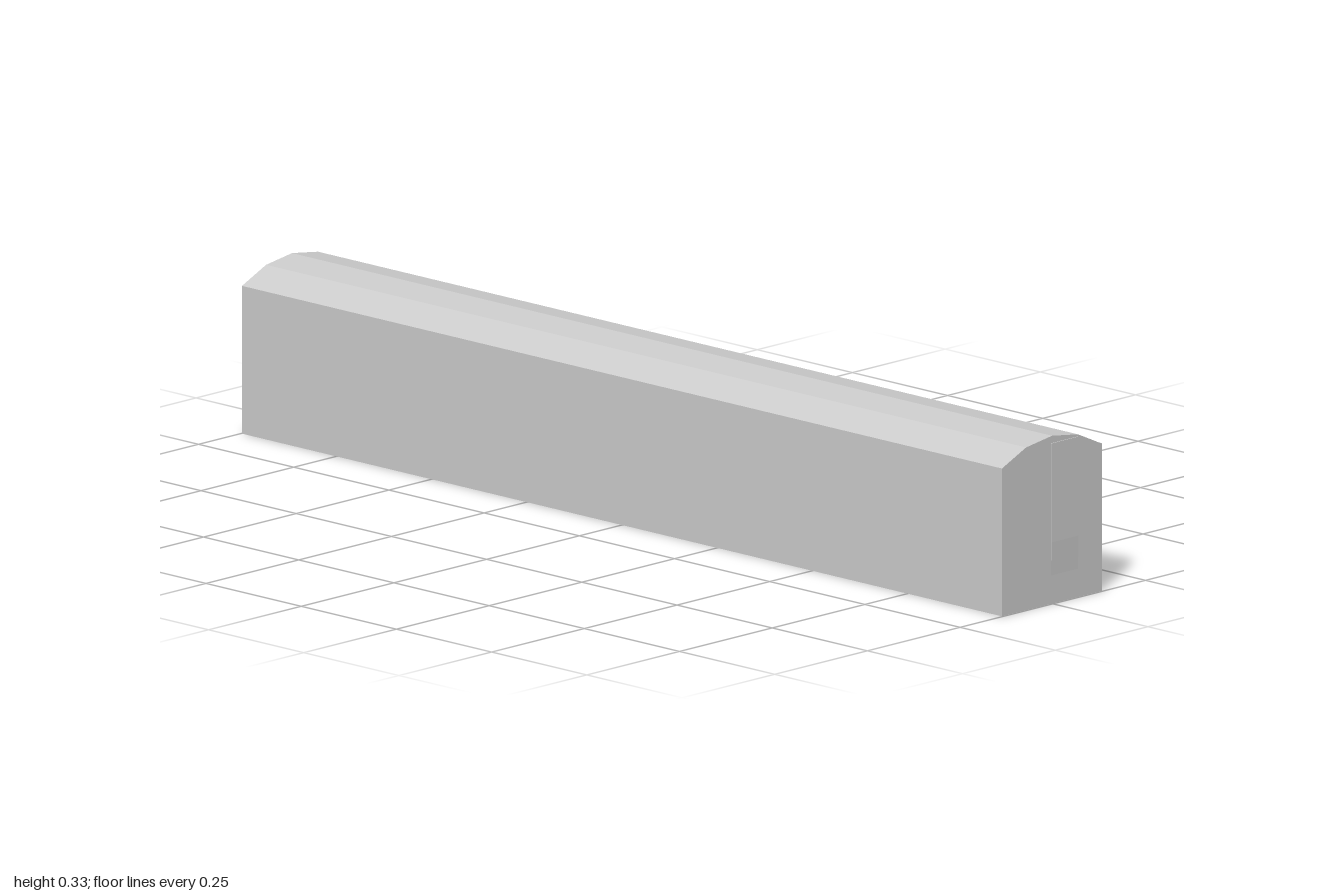
import * as THREE from 'three';

const grey = new THREE.MeshStandardMaterial({ color: 0xcccccc });
grey.name = 'plain grey';

const HALF = 0.998;   // half length of the shell
const BACK = 0.133;   // back of the shell, behind the window panel
const SLOT = { from: -0.07, to: 0.003, height: 0.06 };

function polygon(points) {
  return new THREE.Shape(points.map(([x, y]) => new THREE.Vector2(x, y)));
}

function extrude(shape, depth) {
  return new THREE.ExtrudeGeometry(shape, { depth, bevelEnabled: false });
}

function addMesh(group, name, geometry) {
  const mesh = new THREE.Mesh(geometry, grey);
  mesh.name = name;
  group.add(mesh);
  return mesh;
}

// Cross-section of the carriage; its horizontal axis is -z
function crossSection(slotted) {
  const floor = slotted
    ? [[-SLOT.to, 0], [-SLOT.to, SLOT.height], [-SLOT.from, SLOT.height], [-SLOT.from, 0]]
    : [];
  return polygon([
    [-0.135, 0], ...floor, [BACK, 0], [BACK, 0.287],
    [0.07, 0.316], [0, 0.326], [-0.07, 0.316], [-0.135, 0.287],
  ]);
}

// Slice of the carriage body between two x positions
function bodySlice(slotted, x0, x1) {
  return extrude(crossSection(slotted), x1 - x0).rotateY(Math.PI / 2).translate(x0, 0, 0);
}

function rectanglePath(x0, y0, x1, y1) {
  return new THREE.Path([
    new THREE.Vector2(x0, y0), new THREE.Vector2(x0, y1),
    new THREE.Vector2(x1, y1), new THREE.Vector2(x1, y0),
  ]);
}

export function createModel() {
  const group = new THREE.Group();
  group.name = 'railCarriage';

  // Body with a long channel in the floor, closed at both ends
  const wall = 0.008;
  addMesh(group, 'body', bodySlice(true, -HALF + wall, HALF - wall));
  addMesh(group, 'leftEndWall', bodySlice(false, HALF - wall, HALF));
  addMesh(group, 'rightEndWall', bodySlice(false, -HALF, -HALF + wall));

  // Thin back panel whose openings make the shallow windows
  const panel = polygon([[-HALF, 0], [HALF, 0], [HALF, 0.287], [-HALF, 0.287]]);
  for (let i = 0; i < 6; i++) {
    const x = 0.818 - i * 0.2506;
    panel.holes.push(rectanglePath(x - 0.064, 0.088, x + 0.064, 0.21));
  }
  panel.holes.push(rectanglePath(-0.876, 0.15, -0.748, 0.21));
  addMesh(group, 'windowPanel', extrude(panel, 0.002).translate(0, 0, -0.135));

  // Slightly raised end doors, tapering flush toward the bottom
  for (const side of [1, -1]) {
    const door = polygon([
      [0.992, 0.055], [0.998, 0.055], [1, 0.12], [1, 0.312], [0.992, 0.312],
    ].map(([x, y]) => [x * side, y]));
    addMesh(group, side > 0 ? 'leftEndDoor' : 'rightEndDoor',
      extrude(door, SLOT.to - SLOT.from).translate(0, 0, SLOT.from));
  }

  return group;
}
